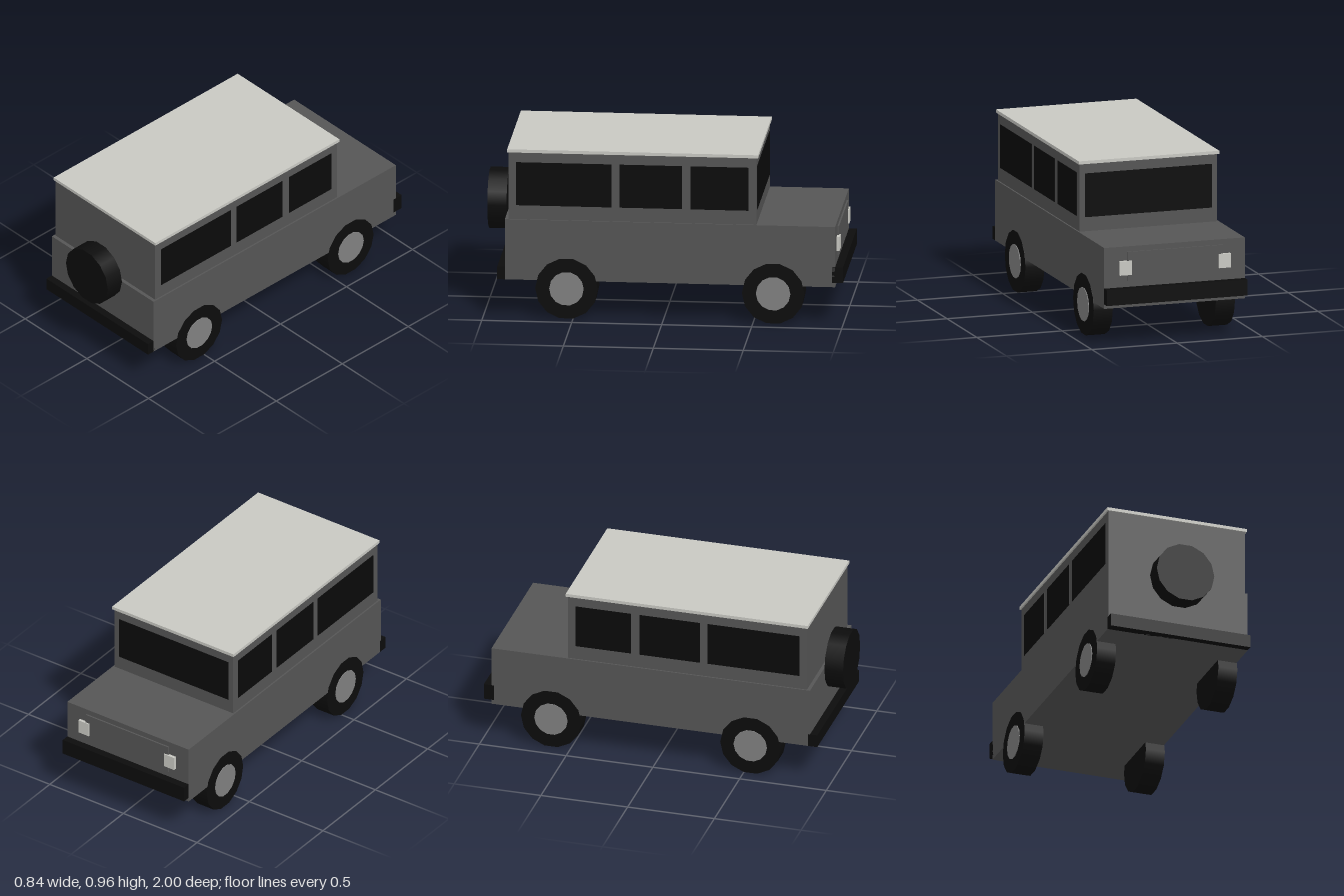
import * as THREE from 'three';

const mat = (name, color) => {
  const m = new THREE.MeshStandardMaterial({ color });
  m.name = name;
  return m;
};

export function createModel() {
  const car = new THREE.Group();
  car.name = 'offRoadCar';
  const paint = mat('greyPaint', 0x555555);
  const roofPaint = mat('paleRoof', 0xc8c8c2);
  const rubber = mat('blackRubber', 0x0c0c0c);
  const glass = mat('darkGlass', 0x0a0a0a);
  const hubMetal = mat('hubGrey', 0x808080);
  const lamp = mat('lampWhite', 0xc8c8c2);

  // Box given by its extents on each axis
  function box(name, material, [x0, x1], [y0, y1], [z0, z1]) {
    const mesh = new THREE.Mesh(new THREE.BoxGeometry(x1 - x0, y1 - y0, z1 - z0), material);
    mesh.position.set((x0 + x1) / 2, (y0 + y1) / 2, (z0 + z1) / 2);
    mesh.name = name;
    car.add(mesh);
  }

  // 14-sided disc with a flat at the top; axis along x or z
  function disc(name, material, radius, width, axis, x, y, z) {
    const geo = new THREE.CylinderGeometry(radius, radius, width, 14);
    if (axis === 'x') geo.rotateZ(Math.PI / 2);
    else geo.rotateY(Math.PI / 2).rotateX(Math.PI / 2);
    const mesh = new THREE.Mesh(geo, material);
    mesh.position.set(x, y, z);
    mesh.name = name;
    car.add(mesh);
  }

  // Body, cabin and roof; the bonnet points towards -z
  box('lowerBody', paint, [-0.412, 0.412], [0.215, 0.56], [-0.956, 0.88]);
  box('cabin', paint, [-0.403, 0.403], [0.56, 0.943], [-0.518, 0.86]);
  box('roof', roofPaint, [-0.412, 0.412], [0.943, 0.961], [-0.528, 0.867]);

  // Bumpers
  box('bonnetBumper', rubber, [-0.412, 0.412], [0.24, 0.33], [-1, -0.94]);
  box('tailBumper', rubber, [-0.412, 0.412], [0.215, 0.288], [0.87, 0.922]);

  // Grille, headlights and windscreen
  box('grille', paint, [-0.28, 0.28], [0.365, 0.53], [-0.966, -0.957]);
  for (const s of [-1, 1]) {
    const x = s * 0.29;
    box('headlight', lamp, [x - 0.035, x + 0.035], [0.4, 0.48], [-0.973, -0.956]);
  }
  box('windscreen', glass, [-0.372, 0.372], [0.64, 0.888], [-0.521, -0.516]);

  // Side windows and wheels, mirrored
  const windows = [[0.287, 0.817], [-0.104, 0.244], [-0.474, -0.153]];
  for (const s of [-1, 1]) {
    for (const span of windows) {
      const x = s * 0.403;
      box('sideWindow', glass, [x - 0.003, x + 0.003], [0.64, 0.886], span);
    }
    for (const z of [0.537, -0.612]) {
      disc('tyre', rubber, 0.174, 0.112, 'x', s * 0.358, 0.17, z);
      disc('hubcap', hubMetal, 0.096, 0.1, 'x', s * 0.368, 0.17, z);
    }
  }

  // Spare wheel on the tail
  disc('spareWheel', rubber, 0.17, 0.107, 'z', 0, 0.572, 0.9465);

  return car;
}
